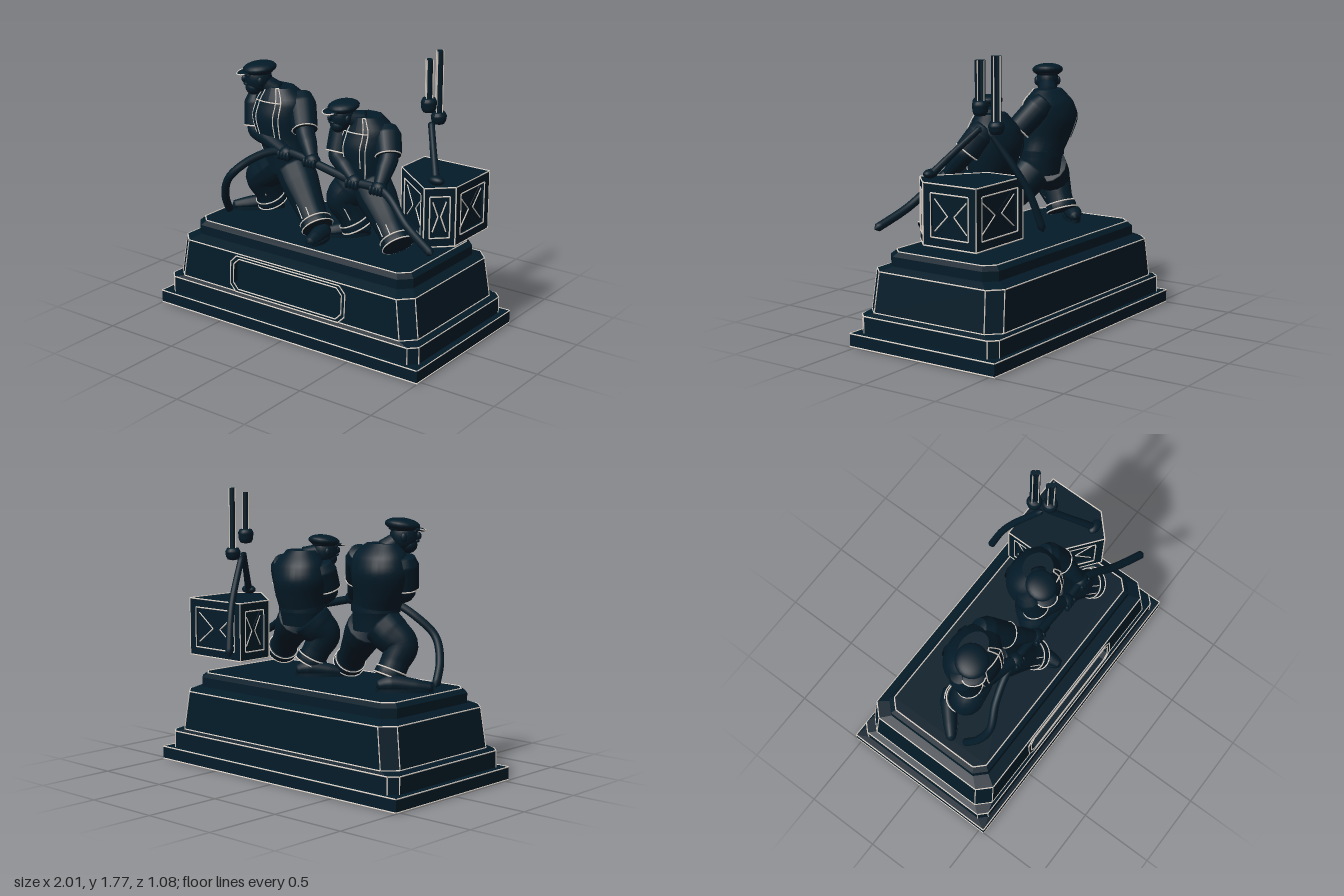
import * as THREE from 'three';
import { mergeGeometries } from 'three/addons/utils/BufferGeometryUtils.js';

const material = (name, color) => Object.assign(new THREE.MeshStandardMaterial({ color, side: THREE.DoubleSide }), { name });
const bronze = material('dark patina', 0x031b28), worn = material('worn edge', 0xe6dcd2);
const vec = p => new THREE.Vector3(...p), vec2 = p => new THREE.Vector2(...p);
const mix = (a, b, t) => a.map((n, i) => n + (b[i] - n) * t);

function add(parent, name, geometry, at = [0, 0, 0], mat = bronze) {
  const m = new THREE.Mesh(geometry, mat);
  m.name = name;
  m.position.set(...at);
  parent.add(m);
  return m;
}
function group(parent, name, at, turn) {
  const g = new THREE.Group();
  g.name = name;
  g.position.set(...at);
  g.rotation.y = turn;
  parent.add(g);
  return g;
}
function ball(parent, name, at, size, tilt = 0) {
  const m = add(parent, name, new THREE.SphereGeometry(1, 20, 14), at);
  m.scale.set(...size);
  m.rotation.x = tilt;
}
const extrude = (shape, depth) => new THREE.ExtrudeGeometry(shape, { depth, bevelEnabled: false });
// Worn line along a polyline, and a worn hem around a limb
function trim(parent, points, closed = false) {
  const pts = closed ? [...points, points[0]] : points;
  const rods = pts.slice(1).map((p, i) => new THREE.TubeGeometry(new THREE.LineCurve3(vec(pts[i]), vec(p)), 1, .0045, 4));
  add(parent, 'wornEdge', mergeGeometries(rods), [0, 0, 0], worn);
}
function hem(parent, center, from, r) {
  add(parent, 'hem', new THREE.TorusGeometry(r, .0048, 4, 24), center, worn).lookAt(vec(from));
}
// Round limb through [x, y, z, radius] points, closed at both ends
function limb(parent, name, pts, segs = 28, sides = 14) {
  const curve = new THREE.CatmullRomCurve3(pts.map(p => vec(p.slice(0, 3))));
  const geo = new THREE.TubeGeometry(curve, segs, 1, sides), pos = geo.attributes.position, v = new THREE.Vector3();
  for (let n = 0; n < pos.count; n++) {
    const i = Math.floor(n / (sides + 1)), c = curve.getPointAt(i / segs);
    const t = curve.getUtoTmapping(i / segs) * (pts.length - 1), k = Math.min(Math.floor(t), pts.length - 2);
    const r = i % segs === 0 ? .002 : THREE.MathUtils.lerp(pts[k][3], pts[k + 1][3], t - k);
    v.fromBufferAttribute(pos, n).sub(c).multiplyScalar(r).add(c);
    pos.setXYZ(n, v.x, v.y, v.z);
  }
  geo.computeVertexNormals();
  add(parent, name, geo);
}
// Upright body through oval rows [cx, y, cz, rx, rz]; a partial arc makes an edged cloth shell
function body(parent, name, rows, grow = 1, start = 0, arc = Math.PI * 2) {
  const mid = new THREE.CatmullRomCurve3(rows.map(r => vec(r.slice(0, 3))));
  const rad = new THREE.CatmullRomCurve3(rows.map(r => vec([r[3], r[4], 0])));
  const at = (t, sx, sz) => {
    const c = mid.getPoint(t), r = rad.getPoint(t);
    return [c.x + sx * r.x * grow, c.y, c.z + sz * r.y * grow];
  };
  const geo = new THREE.CylinderGeometry(1, 1, 1, 28, 20, arc < 6, start, arc), pos = geo.attributes.position;
  for (let i = 0; i < pos.count; i++) pos.setXYZ(i, ...at(pos.getY(i) + .5, pos.getX(i), pos.getZ(i)));
  geo.computeVertexNormals();
  add(parent, name, geo);
  if (arc > 6 || Math.cos(start) < 0) return;
  const edge = [...Array(10).keys()].map(i => i / 9), on = (t, u) => at(t, Math.sin(start + u * arc), Math.cos(start + u * arc));
  trim(parent, [...edge.map(t => on(t, 0)), ...edge.map(u => on(1, u)), ...edge.map(t => on(1 - t, 1))]);
}
// Stepped plinth: chamfered rectangles [halfX, halfZ, y, chamfer], hollow underneath
function plinth(parent) {
  const rows = [[1, .535, 0, .001], [1, .535, .08, .001], [.96, .507, .085, .05], [.96, .507, .19, .05],
    [.92, .487, .21, .08], [.885, .472, .46, .08], [.83, .4, .49, .07], [.83, .4, .55, .07], [.8, .37, .577, .06]];
  const rings = rows.map(([x, z, y, c]) => [[c - x, z], [x - c, z], [x, z - c], [x, c - z],
    [x - c, -z], [c - x, -z], [-x, c - z], [-x, z - c]].map(p => [p[0], y, p[1]]));
  const out = [], top = rings[8], geo = new THREE.BufferGeometry();
  for (let i = 0; i < 8; i++) for (let k = 0; k < 8; k++) {
    if (i === 4 && k === 0) continue; // the plaque wall goes here
    const a = rings[i][k], b = rings[i][(k + 1) % 8], c = rings[i + 1][(k + 1) % 8], d = rings[i + 1][k];
    out.push(...a, ...b, ...c, ...a, ...c, ...d);
  }
  for (let k = 1; k < 7; k++) out.push(...top[0], ...top[k], ...top[k + 1]);
  geo.setAttribute('position', new THREE.Float32BufferAttribute(out, 3));
  geo.computeVertexNormals();
  add(parent, 'plinth', geo);
  for (const i of [0, 1, 3, 4, 5, 8]) trim(parent, rings[i], true);
  for (let k = 0; k < 8; k++) for (const i of [2, 4]) trim(parent, [rings[i][k], rings[i + 1][k]]);
  // Front wall with an eight-sided recess
  const oct = (x, y0, y1, c) => [[c - x, y0], [x - c, y0], [x, y0 + c], [x, y1 - c], [x - c, y1], [c - x, y1], [-x, y1 - c], [-x, y0 + c]];
  const inner = oct(.42, .02, .22, .04), outer = oct(.445, .002, .238, .045);
  const wall = new THREE.Shape([[-.84, 0], [.84, 0], [.805, .25], [-.805, .25]].map(vec2)), frame = new THREE.Shape(outer.map(vec2));
  for (const s of [wall, frame]) s.holes.push(new THREE.Path(inner.map(vec2)));
  const front = group(parent, 'plaque', [0, .21, .487], 0);
  front.rotation.x = -.06;
  add(front, 'plaqueWall', extrude(wall, .03), [0, 0, -.03]);
  add(front, 'plaqueFrame', extrude(frame, .008));
  add(front, 'plaquePanel', new THREE.ShapeGeometry(new THREE.Shape(outer.map(vec2))), [0, 0, -.03]);
  for (const line of [inner, outer]) trim(front, line.map(p => [...p, .009]), true);
}
// Bearded head in a flat cap
function head(parent, at, yaw, size) {
  const h = group(parent, 'head', at, yaw);
  h.scale.setScalar(size);
  ball(h, 'skull', [0, 0, 0], [.072, .095, .085]);
  ball(h, 'beard', [0, -.055, .03], [.056, .05, .053]);
  ball(h, 'nose', [0, 0, .088], [.014, .024, .02]);
  ball(h, 'moustache', [0, -.03, .078], [.035, .012, .018]);
  ball(h, 'brow', [0, .03, .066], [.05, .014, .022]);
  for (const s of [-1, 1]) ball(h, 'ear', [s * .073, -.005, -.005], [.013, .028, .02]);
  ball(h, 'cap', [0, .068, -.008], [.1, .042, .108], .12);
  ball(h, 'capBand', [0, .05, 0], [.082, .028, .093]);
  ball(h, 'capBrim', [0, .042, .085], [.068, .011, .05], .2);
  trim(h, [-1.4, -.9, -.45, 0, .45, .9, 1.4].map(a => [Math.sin(a) * .07, .047 - Math.cos(a) * .014, .085 + Math.cos(a) * .051]));
}
function shoe(parent, [hx, hz], [tx, tz]) {
  const len = Math.hypot(tx - hx, tz - hz), s = group(parent, 'shoe', [(hx + tx) / 2, .577, (hz + tz) / 2], Math.atan2(tx - hx, tz - hz));
  limb(s, 'upper', [[0, .035, -len / 2, .03], [0, .05, -len / 4, .055], [0, .035, len / 5, .045], [0, .025, len / 2, .028]]);
  add(s, 'sole', new THREE.CylinderGeometry(1, 1, .022, 20), [0, .011, 0]).scale.set(.055, 1, len / 2);
}
function worker(parent, name, f) {
  const w = group(parent, name, [0, 0, 0], 0), top = f.torso[f.torso.length - 1];
  body(w, 'torso', f.torso);
  // Overall bib, straps and belt wrapped over the shirt
  body(w, 'bib', f.torso.slice(1, 5), 1.05, -.5, 1);
  for (const a of [-.5, .32, Math.PI - .5, Math.PI + .32]) body(w, 'strap', f.torso.slice(2), 1.06, a, .18);
  body(w, 'belt', [f.torso[1], f.torso[1].map((n, i) => i === 1 ? n + .04 : n)], 1.05);
  limb(w, 'neck', [[top[0], top[1] - .05, top[2], .07], [...f.head, .05]], 8);
  head(w, f.head, f.yaw, f.size);
  for (const [s, e, h] of f.arms) {
    limb(w, 'sleeve', [[-.25, .06], [.1, .088], [.55, .084], [.95, .08]].map(([t, r]) => [...mix(s, e, t), r]));
    hem(w, mix(s, e, .9), s, .08);
    limb(w, 'forearm', [[...mix(s, e, .6), .055], [...e, .06], [...mix(e, h, .4), .056], [...h, .036]]);
    ball(w, 'hand', h, [.052, .046, .046]);
    for (let i = 0; i < 4; i++) ball(w, 'finger', [h[0] - .036 + i * .024, h[1] - .008, h[2] + .034], [.013, .03, .017]);
  }
  for (const [hip, knee, ankle, heel, toe] of f.legs) {
    const shin = t => mix(knee, ankle, t);
    limb(w, 'trouserLeg', [[...hip, .125], [...mix(hip, knee, .5), .122], [...knee, .104], [...shin(.5), .09], [...ankle, .09]]);
    limb(w, 'trouserCuff', [[...shin(.72), .096], [...shin(.86), .1], [...shin(1.02), .1]], 12);
    for (const [t, r] of [[.76, .098], [.97, .101]]) hem(w, shin(t), knee, r);
    // Creases down the shin
    for (const d of [-.03, .04]) trim(w, [.15, .4, .7].map(t => mix(shin(t), [0, 0, 0], 0)).map(p => [p[0] + d, p[1] + .02, p[2] + .087]));
    if (heel) shoe(w, heel, toe);
  }
}
// Crate with a cut corner, framed and cross-braced on every side
function crate(parent) {
  const g = group(parent, 'crate', [0, 0, 0], 0), y0 = .68, h = .37;
  const pts = [[.45, -.1], [.78, .155], [.92, .025], [.92, -.355], [.45, -.355]];
  for (const [name, k, y, depth] of [['core', .92, y0 + .01, h - .02], ['lid', 1, y0 + h - .02, .02], ['floor', 1, y0, .02]]) {
    const outline = new THREE.Shape(pts.map(([x, z]) => vec2([.7 + (x - .7) * k, .15 - (z + .15) * k])));
    add(g, name, extrude(outline, depth).rotateX(-Math.PI / 2), [0, y, 0]);
  }
  pts.forEach(([x, z], i) => {
    const [qx, qz] = pts[(i + 1) % 5], len = Math.hypot(qx - x, qz - z), b = Math.min(.055, len * .18);
    const side = group(g, 'crateSide', [x, y0, z], Math.atan2(z - qz, qx - x));
    const outer = [[0, 0], [len, 0], [len, h], [0, h]], inner = [[b, .055], [len - b, .055], [len - b, h - .055], [b, h - .055]];
    const s = new THREE.Shape(outer.map(vec2)), w = len - 2 * b, t = h - .11;
    s.holes.push(new THREE.Path(inner.map(vec2)));
    add(side, 'frame', extrude(s, .025), [0, 0, -.025]);
    for (const line of [inner, outer]) trim(side, line.map(p => [...p, 0]), true);
    for (const d of [-1, 1])
      add(side, 'brace', new THREE.BoxGeometry(Math.hypot(w, t) - .03, .025, .012), [len / 2, h / 2, -.02]).rotation.z = d * Math.atan2(t, w);
    for (const d of [b + .02, len - b - .02]) trim(side, [[d, .09, -.013], [d + (len / 2 - d) * .8, h / 2, -.013], [d, h - .09, -.013]]);
  });
}
export function createModel() {
  const model = new THREE.Group();
  model.name = 'monument';
  plinth(model);
  worker(model, 'tallWorker', {
    torso: [[-.33, .92, .04, .14, .12], [-.34, 1.04, .04, .155, .13], [-.38, 1.15, .03, .175, .145],
      [-.4, 1.28, .02, .2, .165], [-.39, 1.38, .02, .19, .14], [-.4, 1.46, .03, .11, .08]],
    head: [-.505, 1.505, .105], yaw: -.8, size: 1,
    arms: [[[-.55, 1.35, .06], [-.53, 1.17, .1], [-.21, 1.09, .2]], [[-.25, 1.37, -.01], [-.14, 1.21, .1], [-.01, 1.08, .2]]],
    legs: [[[-.39, .97, .03], [-.53, .84, .06], [-.5, .65, -.02], [-.49, -.13], [-.75, .1]],
      [[-.27, .95, .05], [-.11, .79, .13], [.03, .65, .2], [.05, .13], [.07, .35]]]
  });
  worker(model, 'shortWorker', {
    torso: [[.26, .9, .02, .14, .12], [.26, .99, .01, .15, .13], [.26, 1.08, 0, .165, .15],
      [.25, 1.19, -.01, .185, .165], [.26, 1.29, -.01, .175, .14], [.26, 1.38, .01, .1, .09]],
    head: [.155, 1.375, .115], yaw: -.5, size: .93,
    arms: [[[.12, 1.27, .05], [.12, 1.12, .11], [.31, 1.01, .2]], [[.39, 1.28, -.02], [.46, 1.15, .06], [.48, 1.0, .19]]],
    legs: [[[.21, .95, .03], [.14, .84, .09], [.22, .65, .04], [.25, -.06], [.02, .15]],
      [[.32, .95, .04], [.49, .81, .13], [.635, .67, .2]]]
  });
  // Hauling rope, from the tall worker's foot to its free end
  limb(model, 'rope', [[-.71, .59, .17], [-.67, .74, .26], [-.6, .88, .3], [-.48, 1.0, .25], [-.33, 1.08, .21], [-.2, 1.1, .2],
    [0, 1.07, .2], [.3, 1.01, .2], [.52, .99, .2], [.75, .84, .28], [.97, .74, .35]].map(p => [...p, .026]), 90, 10);
  crate(model);
  // Lifting sling and hanging tackle
  limb(model, 'sling', [[.61, 1.35, -.17, .02], [.7, 1.22, -.06, .02], [.8, 1.07, .06, .024]]);
  limb(model, 'sling', [[.59, 1.34, -.2, .02], [.51, 1.08, -.36, .022], [.47, .95, -.42, .022], [.42, .73, -.48, .024]]);
  ball(model, 'slingKnot', [.8, 1.08, .06], [.055, .028, .035]);
  for (const [z, low, high, mid] of [[-.155, 1.41, 1.74, 1.5], [-.27, 1.31, 1.77, 1.385]]) {
    for (const s of [-1, 1]) {
      add(model, 'hoistCable', new THREE.CylinderGeometry(.018, .018, high - mid, 10), [.6 + s * .008, (high + mid) / 2, z + s * .01]);
      for (const [dx, dz] of [[0, .028], [.026, 0]]) trim(model, [[.6 + s * dx, mid, z + s * dz], [.6 + s * dx, high, z + s * dz]]);
    }
    limb(model, 'pulleyBlock', [[.6, low, z, .03], [.6, low + .025, z, .045], [.6, mid - .02, z, .05], [.6, mid + .01, z, .035]], 14);
  }
  return model;
}
